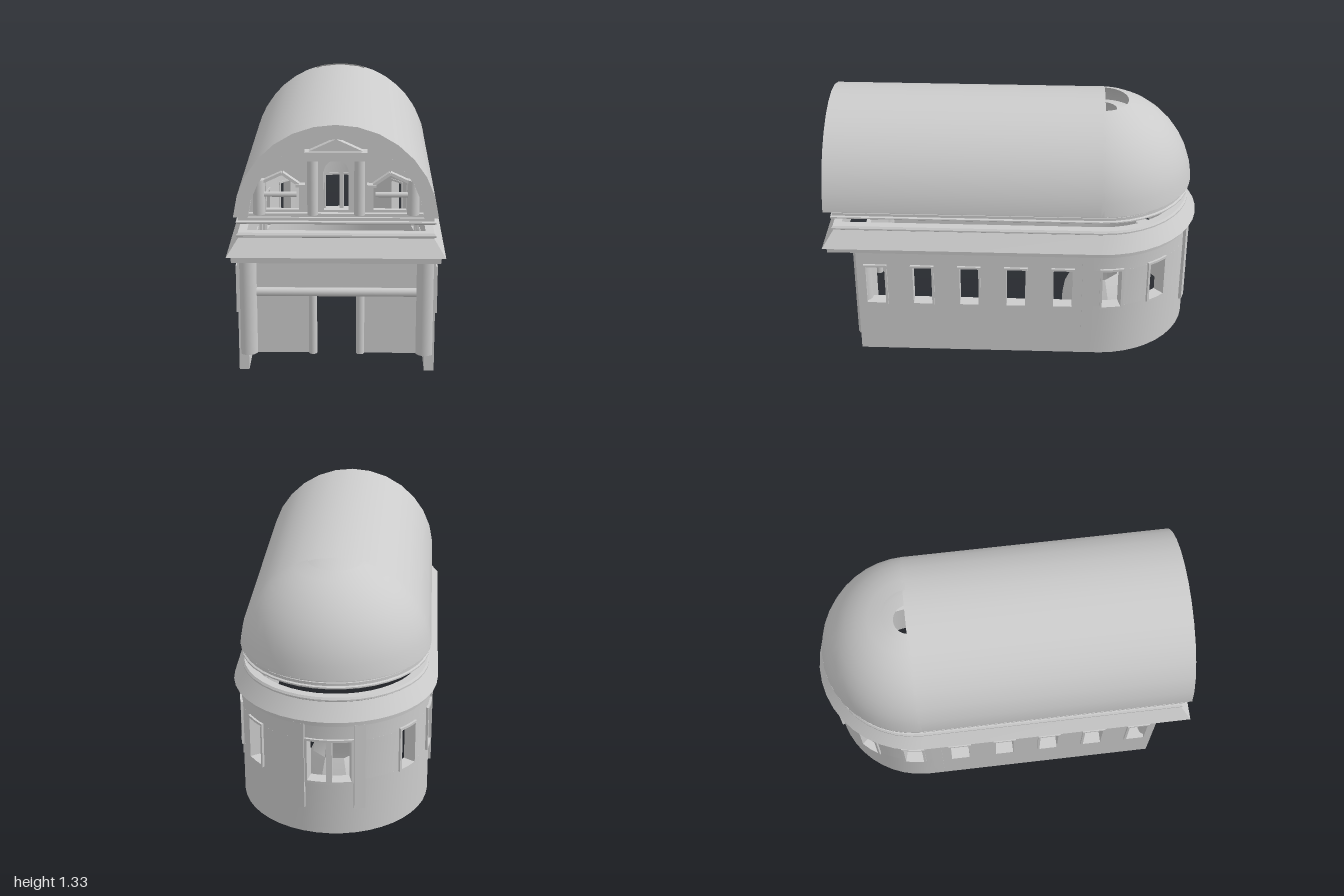
import * as THREE from 'three';
import { toCreasedNormals } from 'three/addons/utils/BufferGeometryUtils.js';

const R = 0.495;              // half width of the hall and radius of the apse
const ZC = -0.46;             // centre of the apse
const ARC = R * Math.PI / 2;  // quarter of the apse wall, back centre to side
const FRONT = 0.96;           // front line of the cornice
const SPRING = 0.83;          // centre height of the vault
const at = z => ARC + z - ZC; // distance along the wall for a side position z

const grey = new THREE.MeshStandardMaterial({ color: 0xcccccc, side: THREE.DoubleSide });

// Point on the U-shaped plan: distance s from the back centre, o outwards
function plan(s, o) {
  const a = Math.abs(s) / R, side = -Math.sign(s);
  return a < Math.PI / 2
    ? [side * (R + o) * Math.sin(a), ZC - (R + o) * Math.cos(a)]
    : [side * (R + o), ZC + Math.abs(s) - ARC];
}

// Box bent along the plan
function bent(s0, s1, y0, y1, o0, o1) {
  const n = Math.max(1, Math.ceil((s1 - s0) / 0.07));
  const g = new THREE.BoxGeometry(s1 - s0, y1 - y0, o1 - o0, n, 1, 1);
  g.translate((s0 + s1) / 2, (y0 + y1) / 2, (o0 + o1) / 2);
  const p = g.attributes.position;
  for (let i = 0; i < p.count; i++) {
    const [x, z] = plan(p.getX(i), p.getZ(i));
    p.setXYZ(i, x, p.getY(i), z);
  }
  g.computeVertexNormals();
  return g;
}

// Closed profile of [outward, y] swept round the apse, sides and mitred front
function ring(profile) {
  const N = 20, pos = [], idx = [], m = profile.length;
  for (let k = 0; k <= N + 2; k++) {
    for (const [o, y] of profile) {
      if (k <= N) {
        const a = Math.PI * (k / N - 0.5);
        pos.push((R + o) * Math.sin(a), y, ZC - (R + o) * Math.cos(a));
      } else {
        pos.push((k === N + 1 ? 1 : -1) * (R + o), y, FRONT + o);
      }
    }
  }
  const count = N + 3;
  for (let k = 0; k < count; k++) {
    for (let j = 0; j < m; j++) {
      const k2 = (k + 1) % count, j2 = (j + 1) % m;
      const a = k * m + j, b = k2 * m + j, c = k2 * m + j2, d = k * m + j2;
      idx.push(a, d, b, b, d, c);
    }
  }
  const g = new THREE.BufferGeometry();
  g.setAttribute('position', new THREE.Float32BufferAttribute(pos, 3));
  g.setIndex(idx);
  return toCreasedNormals(g, 0.4);
}

export function createModel() {
  const root = new THREE.Group();
  const add = (name, geo, x = 0, y = 0, z = 0) => {
    const mesh = new THREE.Mesh(geo, grey);
    mesh.name = name;
    mesh.position.set(x, y, z);
    root.add(mesh);
    return mesh;
  };
  const box = (name, x0, x1, y0, y1, z0, z1) =>
    add(name, new THREE.BoxGeometry(x1 - x0, y1 - y0, z1 - z0), (x0 + x1) / 2, (y0 + y1) / 2, (z0 + z1) / 2);
  const column = (name, x, y0, y1, z, r) =>
    add(name, new THREE.CylinderGeometry(r, r, y1 - y0, 16), x, (y0 + y1) / 2, z);

  // Walls with windows: [centre, half width of opening]
  const half = [[0.442, 0.05], [0.708, 0.05]];
  for (const z of [-0.27, -0.02, 0.23, 0.48, 0.73]) half.push([at(z), 0.05]);
  const windows = [...half.map(([s, w]) => [-s, w]).reverse(), [0, 0.11], ...half];
  const END = at(0.83), lo = 0.312, hi = 0.538, T = -0.05, F = 0.0125;
  add('lowerWall', bent(-END, END, 0, lo, T, 0));
  add('upperWall', bent(-END, END, hi, 0.64, T, 0));
  let from = -END;
  for (const [s, w] of [...windows, [END, 0]]) {
    add('wallPier', bent(from, s - w, lo, hi, T, 0));
    from = s + w;
  }
  for (const [s, w] of windows) {
    add('windowSill', bent(s - w - F, s + w + F, lo - F, lo, T - 0.005, 0.012));
    add('windowHead', bent(s - w - F, s + w + F, hi, hi + F, T - 0.005, 0.012));
    add('windowJamb', bent(s - w - F, s - w, lo, hi, T - 0.005, 0.012));
    add('windowJamb', bent(s + w, s + w + F, lo, hi, T - 0.005, 0.012));
  }
  add('windowMullion', bent(-0.014, 0.014, lo, hi, T, 0.012));
  for (const s of [0.152, at(-0.4)]) {
    for (const m of [-1, 1]) add('pilaster', bent(m * s - 0.028, m * s + 0.028, 0.15, 0.635, -0.01, 0.015));
  }

  // Cornice and the separate moulding under the roof
  add('cornice', ring([[-0.06, 0.63], [0.015, 0.63], [0.018, 0.665], [0.038, 0.665], [-0.02, 0.75],
    [-0.01, 0.757], [-0.01, 0.765], [-0.018, 0.775], [-0.06, 0.775]]));
  add('roofMoulding', ring([[-0.06, 0.82], [-0.018, 0.82], [-0.01, 0.826], [-0.01, 0.833], [-0.02, 0.837],
    [-0.02, 0.852], [-0.035, 0.852], [-0.035, 0.868], [-0.06, 0.868]]));

  // Barrel vault and half dome, each with outer and inner skins
  const low = Math.asin(0.04 / R), zBack = -0.475, zFront = 0.985, inner = 0.425;
  for (const [name, r, hole] of [['outer', R, 0.14], ['inner', inner, 0.08]]) {
    const start = Math.asin((0.87 - SPRING) / r), len = zFront - zBack;
    const barrel = new THREE.CylinderGeometry(r, r, len, 14, 1, true, start - Math.PI / 2, Math.PI - 2 * start);
    barrel.rotateX(-Math.PI / 2);
    add(name + 'Vault', barrel, 0, SPRING, (zFront + zBack) / 2);
    const end = Math.acos(hole / r), pts = [];
    for (let i = 0; i <= 8; i++) {
      const a = start + (end - start) * i / 8;
      pts.push(new THREE.Vector2(r * Math.cos(a), SPRING + r * Math.sin(a)));
    }
    add(name + 'Dome', new THREE.LatheGeometry(pts, 20, Math.PI / 2, Math.PI), 0, 0, ZC);
  }
  add('archFace', new THREE.RingGeometry(inner, R, 14, 1, low, Math.PI - 2 * low), 0, SPRING, zFront);
  add('vaultEdge', bent(-at(zFront), at(zFront), 0.866, 0.871, inner - R, -0.002));

  // Screen inside the front arch, with a niche and two gabled bays
  const screen = new THREE.Shape();
  screen.moveTo(0.42, 0.866);
  for (let i = 0; i <= 14; i++) {
    const a = 0.09 + (Math.PI - 0.18) * i / 14;
    screen.lineTo(0.425 * Math.cos(a), SPRING + 0.425 * Math.sin(a));
  }
  screen.closePath();
  const niche = new THREE.Path();
  niche.moveTo(-0.06, 0.88);
  niche.lineTo(0.06, 0.88);
  niche.lineTo(0.06, 1.07);
  niche.absarc(0, 1.07, 0.06, 0, Math.PI, false);
  niche.closePath();
  screen.holes.push(niche);
  for (const m of [-1, 1]) {
    screen.holes.push(new THREE.Path([[0.18, 0.88], [0.34, 0.88], [0.34, 1.03], [0.26, 1.07], [0.18, 1.01]]
      .map(([x, y]) => new THREE.Vector2(m * x, y))));
  }
  add('archScreen', new THREE.ExtrudeGeometry(screen, { depth: 0.03, bevelEnabled: false, curveSegments: 8 }), 0, 0, 0.87);

  // Small portico in the arch
  box('porticoBeam', -0.15, 0.15, 1.142, 1.185, 0.9, 0.965);
  const gable = new THREE.Shape([[-0.13, 1.185], [0.13, 1.185], [0, 1.245]].map(p => new THREE.Vector2(...p)));
  add('pediment', new THREE.ExtrudeGeometry(gable, { depth: 0.04, bevelEnabled: false }), 0, 0, 0.905);
  for (const m of [-1, 1]) {
    column('porticoColumn', m * 0.113, 0.866, 1.145, 0.93, 0.026);
    column('archPost', m * 0.372, 0.866, 1.04, 0.92, 0.03);
    const rail = add('archRail', new THREE.CylinderGeometry(0.013, 0.013, 0.155, 10), m * 0.268, 0.968, 0.93);
    rail.rotation.z = Math.PI / 2;
    add('bracket', new THREE.BoxGeometry(0.045, 0.012, 0.05), m * 0.172, 1.012, 0.92);
    for (const [x0, y0, x1, y1] of [[0.18, 1.015, 0.26, 1.072], [0.26, 1.072, 0.35, 1.03]]) {
      const bar = add('gableTrim', new THREE.BoxGeometry(Math.hypot(x1 - x0, y1 - y0), 0.014, 0.04),
        m * (x0 + x1) / 2, (y0 + y1) / 2, 0.915);
      bar.rotation.z = m * Math.atan2(y1 - y0, x1 - x0);
    }
  }

  // Entrance front
  box('frontPanelUpper', -0.41, 0.41, 0.42, 0.635, 0.785, 0.81);
  const lintel = add('lintel', new THREE.CylinderGeometry(0.0225, 0.0225, 0.8, 12), 0, 0.4225, 0.82);
  lintel.rotation.z = Math.PI / 2;
  for (const m of [-1, 1]) {
    column('cornerColumn', m * 0.447, 0.088, 0.635, 0.803, 0.0475);
    column('doorJamb', m * 0.119, 0.088, 0.42, 0.81, 0.021);
    add('frontPanelLower', new THREE.BoxGeometry(0.29, 0.335, 0.025), m * 0.267, 0.2555, 0.7975);
  }

  // Hollow eight-sided pedestal in the apse
  const pedestal = new THREE.LatheGeometry(
    [[0.205, 0], [0.19, 0.09], [0.13, 0.225]].map(p => new THREE.Vector2(...p)), 8, Math.PI / 8);
  add('pedestal', toCreasedNormals(pedestal, 0.3), 0, 0, ZC);

  return root;
}
